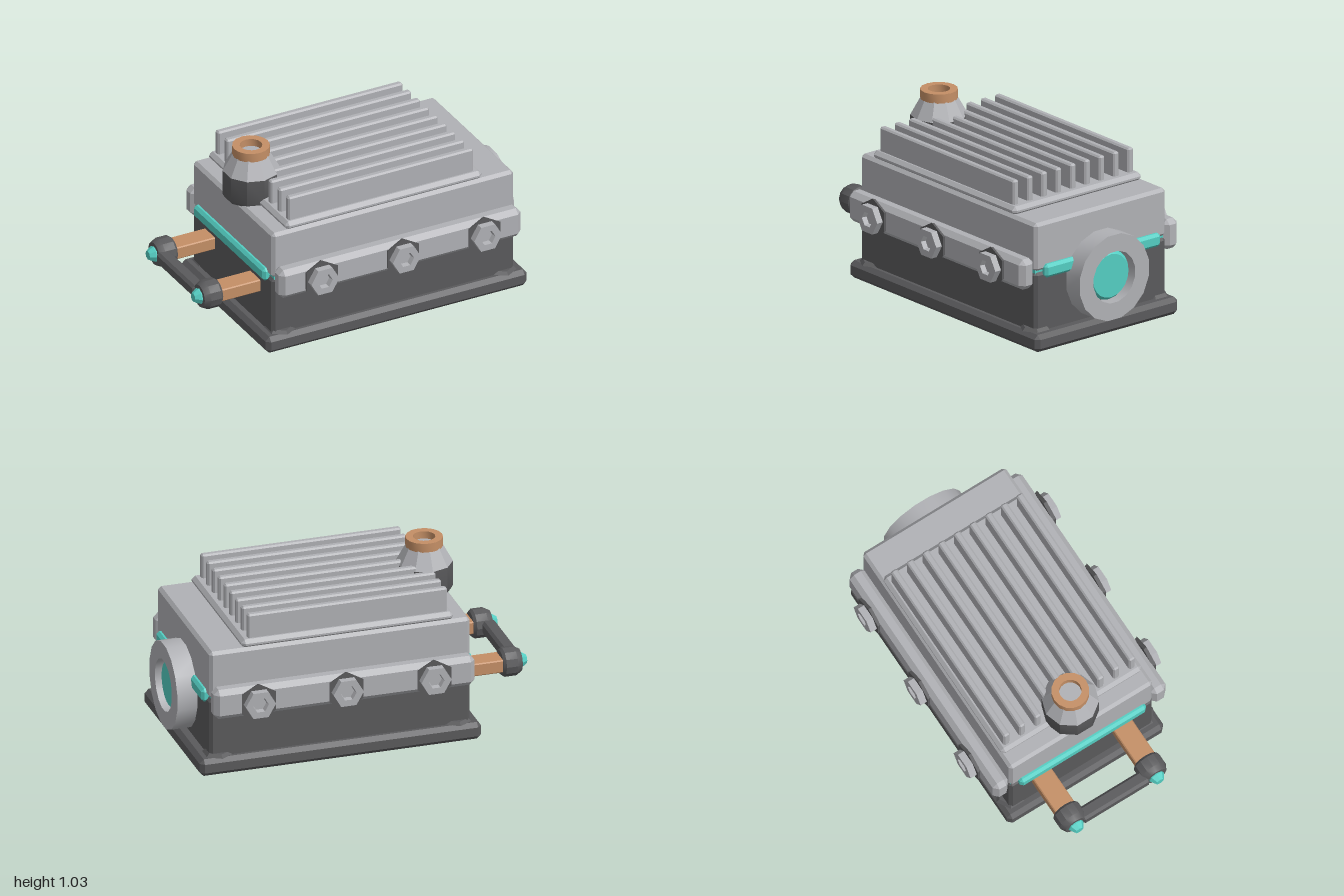
import * as THREE from 'three';
import { toCreasedNormals } from 'three/addons/utils/BufferGeometryUtils.js';
import { ConvexGeometry } from 'three/addons/geometries/ConvexGeometry.js';

const mat = (name, color) => {
  const m = new THREE.MeshStandardMaterial({ color });
  m.name = name;
  return m;
};

// Box with every edge chamfered by b, given by its min and max on each axis
function chamferBox([x0, x1], [y0, y1], [z0, z1], b) {
  const h = [(x1 - x0) / 2, (y1 - y0) / 2, (z1 - z0) / 2];
  const pts = [];
  for (const sx of [-1, 1]) for (const sy of [-1, 1]) for (const sz of [-1, 1])
    for (let full = 0; full < 3; full++) {
      const [x, y, z] = h.map((v, i) => (i === full ? v : v - b));
      pts.push(new THREE.Vector3(sx * x, sy * y, sz * z));
    }
  return new ConvexGeometry(pts).translate((x0 + x1) / 2, (y0 + y1) / 2, (z0 + z1) / 2);
}

// Turned part around y; profile points are [radius, height], outer side going up
function turned(profile, sides, turn = 0) {
  const pts = profile.map(([r, y]) => new THREE.Vector2(r, y));
  return toCreasedNormals(new THREE.LatheGeometry(pts, sides, turn), 0.5);
}

export function createModel() {
  const root = new THREE.Group();
  root.name = 'gearboxHousing';
  const grey = mat('lightGrey', 0xb0b1b5);
  const dark = mat('darkGrey', 0x5a5a5c);
  const copper = mat('copper', 0xc48f66);
  const teal = mat('teal', 0x54cdc2);

  const add = (name, geo, material, parent = root) => {
    const mesh = new THREE.Mesh(geo, material);
    mesh.name = name;
    parent.add(mesh);
    return mesh;
  };

  // Base and two-part housing
  add('basePlate', chamferBox([-0.67, 0.95], [0, 0.1], [-0.508, 0.508], 0.024), dark);
  add('lowerHousing', chamferBox([-0.615, 0.885], [0.06, 0.44], [-0.466, 0.466], 0.018), dark);
  add('upperHousing', chamferBox([-0.615, 0.885], [0.445, 0.725], [-0.466, 0.466], 0.018), grey);
  add('gasket', new THREE.BoxGeometry(1.47, 0.045, 0.91).translate(0.135, 0.443, 0), teal);

  // Foot pads at the corners of the base
  for (const x of [-0.545, 0.825]) for (const z of [-0.42, 0.42]) {
    add('footPad', turned([[0, 0], [0.088, 0], [0.07, 0.018], [0, 0.018]], 6), dark)
      .position.set(x, 0.099, z);
  }

  // Glowing seal strips at both ends
  add('leftSeal', chamferBox([0.86, 0.912], [0.405, 0.482], [-0.41, 0.41], 0.016), teal);
  add('rightSeal', chamferBox([-0.642, -0.59], [0.405, 0.482], [-0.41, 0.41], 0.016), teal);

  // Cooling plate and fins
  add('coolingPlate', chamferBox([-0.525, 0.695], [0.715, 0.766], [-0.457, 0.457], 0.02), grey);
  for (let i = -4; i <= 4; i++) {
    const z = i * 0.102;
    add('coolingFin', chamferBox([-0.495, 0.652], [0.75, 0.905], [z - 0.02, z + 0.02], 0.009), grey);
  }

  // Side clamps with three bolts each; the back one is the front one turned round
  for (const side of [1, -1]) {
    const clamp = new THREE.Group();
    clamp.name = side > 0 ? 'frontClamp' : 'backClamp';
    root.add(clamp);
    const z = side > 0 ? [0.462, 0.562] : [-0.562, -0.462];
    add('clampRail', chamferBox([-0.615, 0.885], [0.355, 0.53], z, 0.028), grey, clamp);
    for (const x of [-0.37, 0.135, 0.64]) {
      const bolt = new THREE.Group();
      bolt.name = 'bolt';
      bolt.position.set(x, 0.443, side * 0.56);
      bolt.rotation.x = side * Math.PI / 2;
      clamp.add(bolt);
      add('washer', turned([[0, 0], [0.105, 0], [0.113, 0.02], [0, 0.02]], 6), dark, bolt);
      add('boltHead', turned([[0, 0.015], [0.087, 0.015], [0.087, 0.06], [0.045, 0.06],
        [0.04, 0.03], [0, 0.03]], 6, Math.PI / 6), grey, bolt);
    }
  }

  // Round port with a lens on the left end
  const port = new THREE.Group();
  port.name = 'lensPort';
  port.position.set(0.87, 0.345, 0);
  port.rotation.z = -Math.PI / 2;
  root.add(port);
  add('portRing', turned([[0.15, 0], [0.25, 0], [0.25, 0.13], [0.15, 0.13], [0.15, 0]], 16, Math.PI / 16), grey, port);
  add('portBack', turned([[0, 0], [0.152, 0], [0.152, 0.05], [0, 0.05]], 16, Math.PI / 16), dark, port);
  add('lens', turned([[0, 0.03], [0.142, 0.03], [0.142, 0.08], [0.125, 0.1], [0, 0.1]], 20), teal, port);

  // Filler neck on top
  const neck = new THREE.Group();
  neck.name = 'fillerNeck';
  neck.position.set(-0.5, 0, 0);
  root.add(neck);
  add('neckBase', turned([[0, 0.715], [0.148, 0.715], [0.158, 0.735], [0.158, 0.88], [0, 0.88]], 10), dark, neck);
  add('neckCone', turned([[0.158, 0.88], [0.1, 0.985], [0, 0.985]], 10), grey, neck);
  add('neckRing', turned([[0.062, 0.975], [0.104, 0.975], [0.104, 1.028], [0.062, 1.028],
    [0.062, 0.975]], 16), copper, neck);

  // Copper terminals with collars, tips and a joining bar on the right end
  for (const z of [-0.262, 0.262]) {
    add('terminalBar', chamferBox([-0.88, -0.6], [0.295, 0.37], [z - 0.061, z + 0.061], 0.006), copper);
    const cap = new THREE.Group();
    cap.name = 'terminalCap';
    cap.position.set(-0.85, 0.332, z);
    cap.rotation.z = Math.PI / 2;
    root.add(cap);
    add('collar', turned([[0, 0], [0.07, 0], [0.083, 0.015], [0.083, 0.08], [0.066, 0.112], [0, 0.112]], 12), dark, cap);
    add('tip', turned([[0, 0.1], [0.046, 0.1], [0.046, 0.118], [0.026, 0.15], [0, 0.15]], 8), teal, cap);
  }
  add('joiningBar', chamferBox([-0.975, -0.895], [0.295, 0.37], [-0.22, 0.22], 0.015), dark);

  return root;
}
